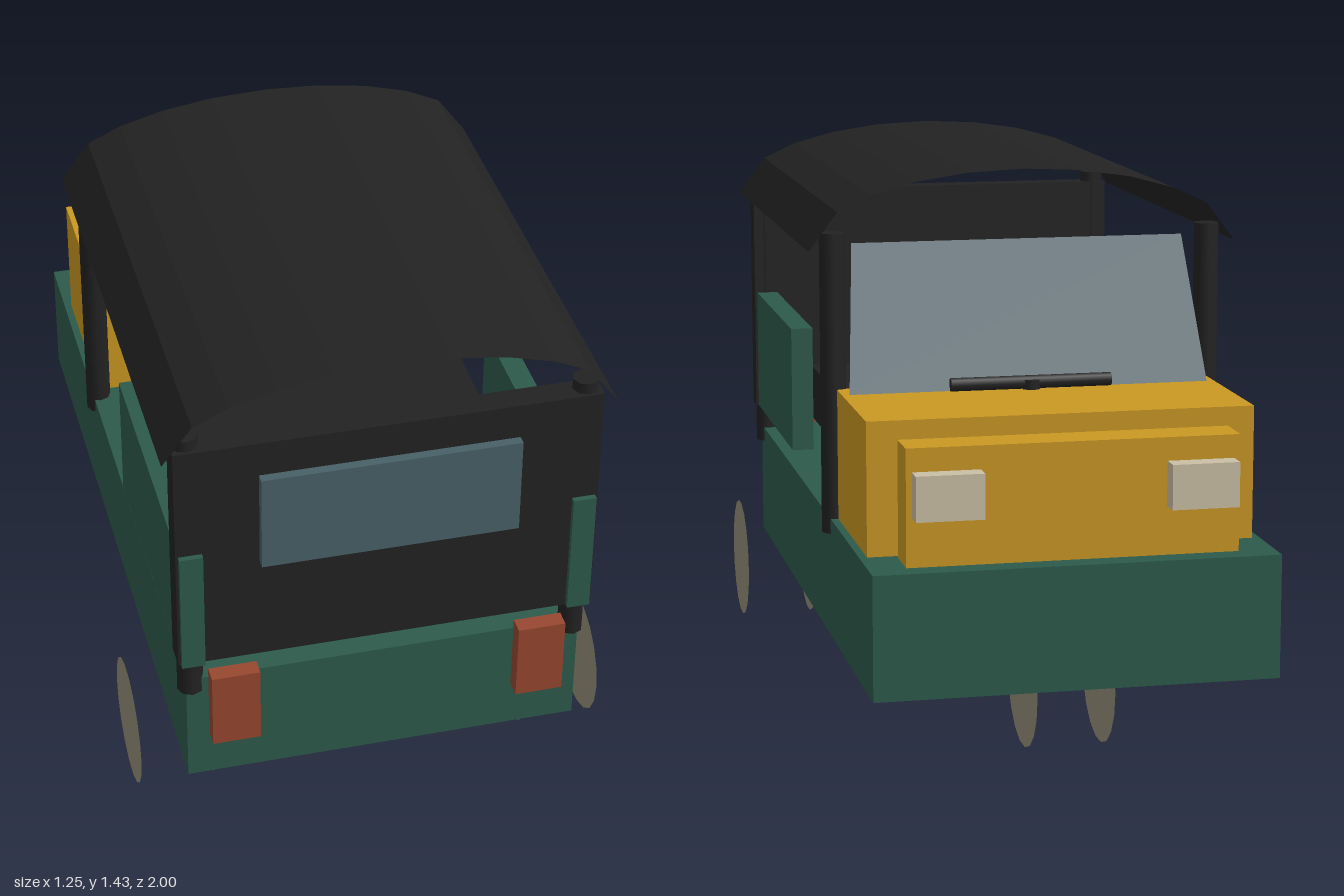
import * as THREE from 'three';

const mat = (name, color, side = THREE.FrontSide) => {
  const m = new THREE.MeshStandardMaterial({ color, side });
  m.name = name;
  return m;
};

export function createModel() {
  const green = mat('body green', 0x2d5a4b);
  const yellow = mat('bonnet yellow', 0xca9722);
  const black = mat('black', 0x222222, THREE.DoubleSide);
  const glass = mat('glass', 0x486067, THREE.DoubleSide);
  const red = mat('tail light red', 0x96472f);
  const cream = mat('headlight cream', 0xcabfa5);
  const tyre = mat('wheel grey', 0x938c76, THREE.DoubleSide);

  const model = new THREE.Group();
  model.name = 'threeWheeler';

  const add = (name, geometry, material) => {
    const mesh = new THREE.Mesh(geometry, material);
    mesh.name = name;
    model.add(mesh);
    return mesh;
  };
  // Box given by its limits on each axis
  const box = (name, material, [x0, x1], [y0, y1], [z0, z1]) =>
    add(name, new THREE.BoxGeometry(x1 - x0, y1 - y0, z1 - z0), material)
      .position.set((x0 + x1) / 2, (y0 + y1) / 2, (z0 + z1) / 2);

  // Open surface through matching rows of points
  const sheet = (name, material, rowA, rowB) => {
    const pos = [];
    for (let i = 0; i < rowA.length - 1; i++) {
      pos.push(...rowA[i], ...rowB[i], ...rowB[i + 1], ...rowA[i], ...rowB[i + 1], ...rowA[i + 1]);
    }
    const g = new THREE.BufferGeometry();
    g.setAttribute('position', new THREE.Float32BufferAttribute(pos, 3));
    g.computeVertexNormals();
    return add(name, g, material);
  };

  // Chassis, bonnet and nose
  box('chassis', green, [-0.52, 0.52], [0.2, 0.52], [-1, 0.94]);
  box('bonnet', yellow, [-0.5, 0.5], [0.52, 0.865], [-0.81, -0.36]);
  box('nose', yellow, [-0.425, 0.425], [0.52, 0.82], [-0.94, -0.83]);

  // Seats and rear wall with its window
  box('passengerSeat', black, [-0.44, 0.44], [0.635, 0.785], [-0.16, 0.47]);
  box('driverSeat', black, [-0.36, 0.36], [0.59, 0.745], [-0.33, -0.11]);
  box('rearWall', black, [-0.542, 0.542], [0.59, 1.245], [0.89, 0.96]);
  box('rearWindow', glass, [-0.33, 0.33], [0.885, 1.15], [0.96, 0.985]);

  // Mirrored parts
  for (const s of [-1, 1]) {
    const side = s > 0 ? 'left' : 'right';
    const span = (a, b) => (s > 0 ? [a, b] : [-b, -a]);
    box(`${side}SidePanel`, green, span(0.475, 0.535), [0.59, 0.935], [0.2, 0.975]);
    box(`${side}TailLight`, red, span(0.34, 0.465), [0.345, 0.56], [0.955, 1]);
    box(`${side}Headlight`, cream, span(0.237, 0.41), [0.645, 0.76], [-0.992, -0.94]);
    for (const z of [-0.34, 0.92]) {
      add(`${side}RoofPost`, new THREE.CylinderGeometry(0.034, 0.034, 0.795, 8), black)
        .position.set(s * 0.505, 0.877, z);
    }
  }

  // Wheels: one at the nose, two at the tail, each a pair of discs
  for (const [x, z] of [[0, -0.8], [-0.525, 0.67], [0.525, 0.67]]) {
    for (const s of [-1, 1]) {
      const disc = add('wheelDisc', new THREE.CircleGeometry(0.17, 18), tyre);
      disc.rotation.y = s * Math.PI / 2;
      disc.position.set(x + s * 0.1, 0.175, z);
    }
  }

  // Sloping windscreen
  sheet('windscreen', glass,
    [[0.48, 0.865, -0.45], [-0.48, 0.865, -0.45]],
    [[0.447, 1.24, -0.3], [-0.447, 1.24, -0.3]]);

  // Handlebar and its stem
  add('handlebar', new THREE.CylinderGeometry(0.018, 0.018, 0.43, 8), black)
    .rotation.z = Math.PI / 2;
  model.children.at(-1).position.set(0, 0.882, -0.455);
  add('handlebarStem', new THREE.CylinderGeometry(0.025, 0.025, 0.04, 10), black)
    .position.set(0, 0.87, -0.457);

  // Arched canopy with straight eaves
  const arc = [0, 30, 45, 60, 75, 90, 105, 120, 135, 150, 180].map((d) => {
    const a = THREE.MathUtils.degToRad(d);
    return [0.572 * Math.cos(a), 1.23 + 0.203 * Math.sin(a)];
  });
  sheet('canopy', black, arc.map(([x, y]) => [x, y, 0.975]), arc.map(([x, y]) => [x, y, -0.375]));

  return model;
}
